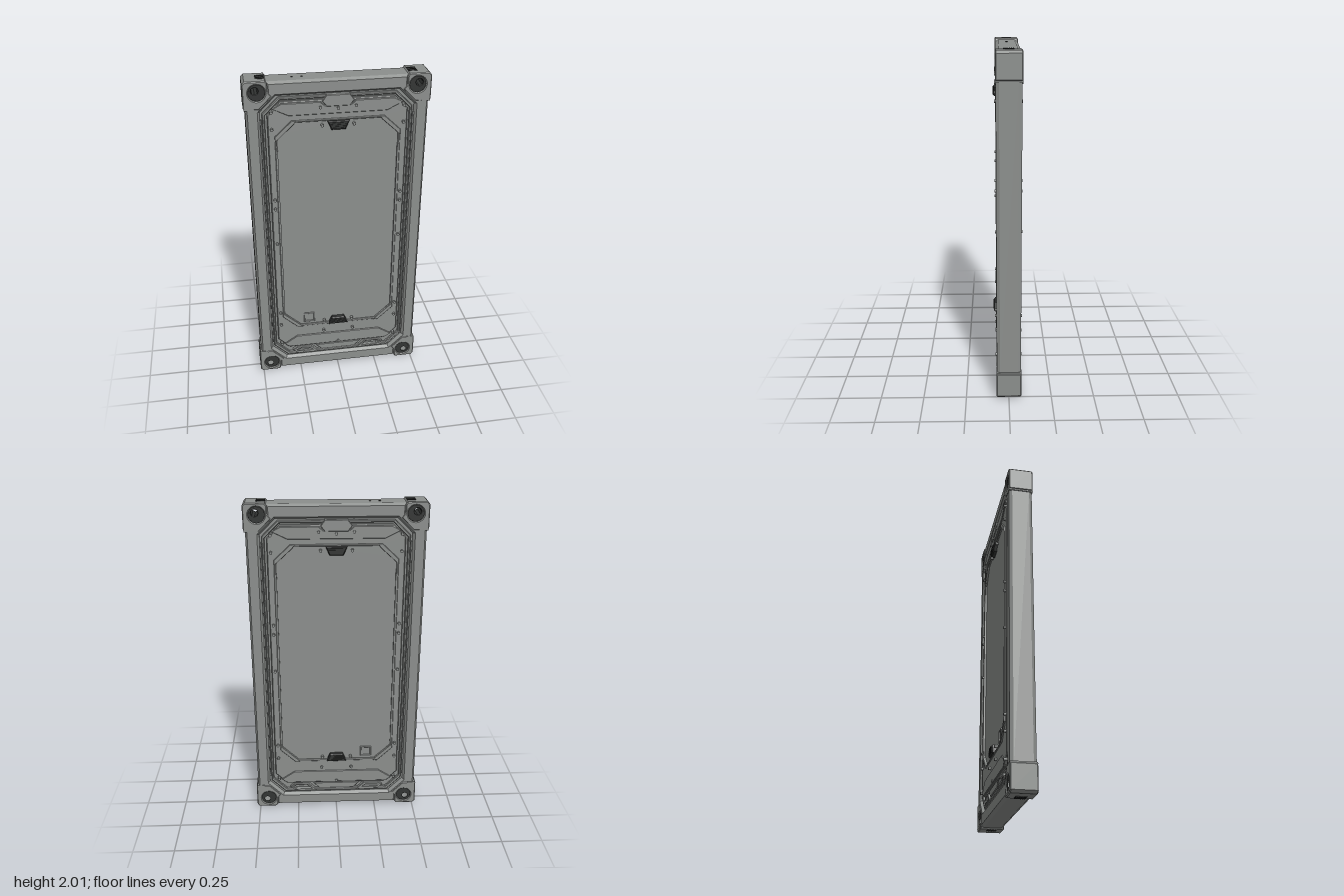
import * as THREE from 'three';

export function createModel() {
  const model = new THREE.Group();
  const material = (name, color) => {
    const m = new THREE.MeshStandardMaterial({ color });
    m.name = name;
    return m;
  };
  const steel = material('grey steel', 0x8c8f8d);
  const rubber = material('dark grip', 0x333534);

  const add = (name, geometry, x = 0, y = 0, z = 0, mat = steel) => {
    const mesh = new THREE.Mesh(geometry, mat);
    mesh.name = name;
    mesh.position.set(x, y, z);
    model.add(mesh);
    return mesh;
  };
  // Rectangle with cut corners
  const octagon = (w, y0, y1, c) => [
    [-w + c, y0], [w - c, y0], [w, y0 + c], [w, y1 - c],
    [w - c, y1], [-w + c, y1], [-w, y1 - c], [-w, y0 + c]];
  const circle = (x, y, r, n = 16) => Array.from({ length: n }, (_, i) => {
    const a = i / n * Math.PI * 2;
    return [x + r * Math.cos(a), y + r * Math.sin(a)];
  });
  const vectors = pts => pts.map(p => new THREE.Vector2(...p));
  // Bevelled plate running right through, from z = -half to z = +half
  const slab = (name, outline, holes, half, bevel = 0.004, depth = bevel, mat = steel) => {
    const shape = new THREE.Shape(vectors(outline));
    holes.forEach(h => shape.holes.push(new THREE.Path(vectors(h))));
    const g = new THREE.ExtrudeGeometry(shape, {
      depth: 2 * (half - depth), bevelEnabled: bevel > 0, bevelSize: bevel,
      bevelThickness: depth, bevelOffset: -bevel, bevelSegments: 1
    });
    g.translate(0, 0, -half + depth);
    return add(name, g, 0, 0, 0, mat);
  };
  const flipX = pts => pts.map(([x, y]) => [-x, y]);
  const flipY = pts => pts.map(([x, y]) => [x, 2 - y]);

  // Outer frame, notched where the corner castings sit
  const notch = [[0.51, 1.86], [0.455, 1.86], [0.39, 1.922], [0.39, 1.992]];
  const frame = [...notch, ...flipX(notch).reverse(),
    ...flipX(flipY(notch)), ...flipY(notch).reverse()];
  slab('outerFrame', frame, [octagon(0.432, 0.092, 1.91, 0.09)], 0.07, 0.012, 0.018);

  // Stepped infill: groove floor, lip, raised border, recessed sheet
  slab('grooveFloor', octagon(0.445, 0.08, 1.922, 0.1), [], 0.045, 0);
  slab('innerLip', octagon(0.42, 0.105, 1.9, 0.09),
    [octagon(0.405, 0.125, 1.885, 0.085)], 0.062);
  slab('panelBorder', octagon(0.393, 0.17, 1.875, 0.075),
    [octagon(0.348, 0.345, 1.757, 0.1)], 0.064, 0.005);
  slab('openingRim', octagon(0.356, 0.337, 1.765, 0.102),
    [octagon(0.344, 0.349, 1.753, 0.1)], 0.069, 0.003);
  slab('centreSheet', octagon(0.37, 0.32, 1.78, 0.1), [], 0.058, 0);

  // Corner castings with knurled hubs; the right pair is the left pair turned about
  const corner = flipX([[0.52, 1.85], [0.52, 1.985], [0.505, 2], [0.395, 2], [0.385, 1.985],
    [0.385, 1.94], [0.362, 1.912], [0.434, 1.84], [0.51, 1.84]]);
  for (const turn of [0, Math.PI]) for (const top of [true, false]) {
    const place = pts => top ? pts : flipY(pts);
    const parts = [slab('cornerCasting', place(corner),
      [place(circle(-0.443, 1.935, 0.047, 24))], 0.073, 0.005)];
    // Toothed hub with an eye set towards the outer corner
    const teeth = Array.from({ length: 48 }, (_, i) => {
      const a = i / 48 * Math.PI * 2, r = i % 4 < 2 ? 0.052 : 0.047;
      return [-0.443 + r * Math.cos(a), 1.935 + r * Math.sin(a)];
    });
    parts.push(slab('cornerHub', place(teeth),
      [place(circle(-0.453, 1.945, 0.021, 8))], 0.066, 0.002, 0.002, rubber));
    parts.forEach(p => { p.rotation.y = turn; });

    const s = turn ? 1 : -1;
    // Ribbed grip pads on the upper and lower ends
    add('endPad', new THREE.BoxGeometry(0.05, 0.004, 0.06),
      s * 0.42, top ? 1.9995 : 0.0005, 0, rubber);
    for (let i = 0; i < 6; i++)
      add('endPadRib', new THREE.BoxGeometry(0.05, 0.004, 0.005),
        s * 0.42, top ? 2.001 : -0.001, -0.025 + i * 0.01, rubber);
    // Clasp wrapping the end of the long beam
    add('cornerClasp', new THREE.BoxGeometry(0.05, 0.012, 0.146),
      s * 0.491, top ? 1.844 : 0.156, 0);
  }

  // Two small sockets on the upper beam
  for (const x of [-0.245, -0.19])
    add('topSocket', new THREE.CylinderGeometry(0.006, 0.006, 0.004, 8), x, 1.992, 0, rubber);

  // Raised trapezoid trims above and below the sheet
  const topTrim = [[-0.365, 1.84], [-0.275, 1.795], [0.275, 1.795], [0.365, 1.84],
    [0.315, 1.867], [0.1, 1.867], [0.075, 1.845], [-0.075, 1.845], [-0.1, 1.867], [-0.315, 1.867]];
  slab('topTrim', topTrim, [], 0.0705, 0.003);
  slab('topTab', [[-0.09, 1.87], [-0.065, 1.838], [0.065, 1.838], [0.09, 1.87],
    [0.065, 1.905], [-0.065, 1.905]], [], 0.074, 0.003);
  slab('bottomTrim', [[-0.355, 0.205], [-0.325, 0.18], [0.325, 0.18], [0.355, 0.205],
    [0.27, 0.262], [-0.27, 0.262]], [], 0.0705, 0.003);
  slab('bottomTab', [[-0.15, 0.168], [-0.11, 0.125], [0.11, 0.125], [0.15, 0.168]], [], 0.064);
  for (const s of [-1, 1]) {
    const vent = [[0.13, 0.115], [0.27, 0.115], [0.3, 0.142], [0.27, 0.165], [0.18, 0.165]];
    const slot = [[0.16, 0.127], [0.26, 0.127], [0.28, 0.142], [0.26, 0.153], [0.19, 0.153]];
    slab('lowerVent', s < 0 ? flipX(vent) : vent, [s < 0 ? flipX(slot) : slot], 0.066, 0.003);
    // Brackets along the cut corners of the opening
    for (const top of [true, false]) {
      let g = [[0.235, 1.765], [0.262, 1.765], [0.356, 1.676], [0.356, 1.645], [0.25, 1.743]];
      if (s < 0) g = flipX(g);
      if (!top) g = g.map(([x, y]) => [x, 2.102 - y]);
      slab('openingBracket', g, [], 0.073, 0.002);
    }
    // Slim rails beside the sheet and in the groove
    add('sideRail', new THREE.BoxGeometry(0.01, 1.12, 0.142), s * 0.347, 1.03, 0);
    add('grooveStrip', new THREE.BoxGeometry(0.008, 1.55, 0.122), s * 0.427, 1, 0);
  }

  // Ribbed grip latches at both ends of the sheet
  for (const [y, s] of [[1.728, 1], [0.367, -1]]) {
    const latch = [[-0.062, y + s * 0.026], [0.062, y + s * 0.026],
      [0.04, y - s * 0.026], [-0.04, y - s * 0.026]];
    slab('latch', latch, [], 0.084, 0.006, 0.006, rubber);
    for (let i = 0; i < 4; i++)
      add('latchRib', new THREE.BoxGeometry(0.1 - i * 0.011, 0.005, 0.174),
        0, y + s * (0.016 - i * 0.011), 0, rubber);
  }

  // Square badge frame
  const square = h => [[-0.187 - h, 0.4 - h], [-0.187 + h, 0.4 - h],
    [-0.187 + h, 0.4 + h], [-0.187 - h, 0.4 + h]];
  slab('squarePlate', square(0.035), [square(0.027)], 0.064, 0.002);

  // Bolt heads, front and back
  const bolts = [[0.09, 1.728], [0.09, 0.367], [0.1, 1.835], [0.095, 0.29]];
  for (const y of [1.82, 1.72, 1.28, 1.22, 0.98, 0.46, 0.365, 0.21]) bolts.push([0.371, y]);
  const boltGeometry = new THREE.CylinderGeometry(0.009, 0.009, 0.156, 8).rotateX(Math.PI / 2);
  for (const [x, y] of bolts) for (const s of [-1, 1]) add('bolt', boltGeometry, s * x, y, 0);
  add('bolt', boltGeometry, 0, 1.825, 0);
  add('bolt', boltGeometry, 0, 0.19, 0);

  return model;
}
